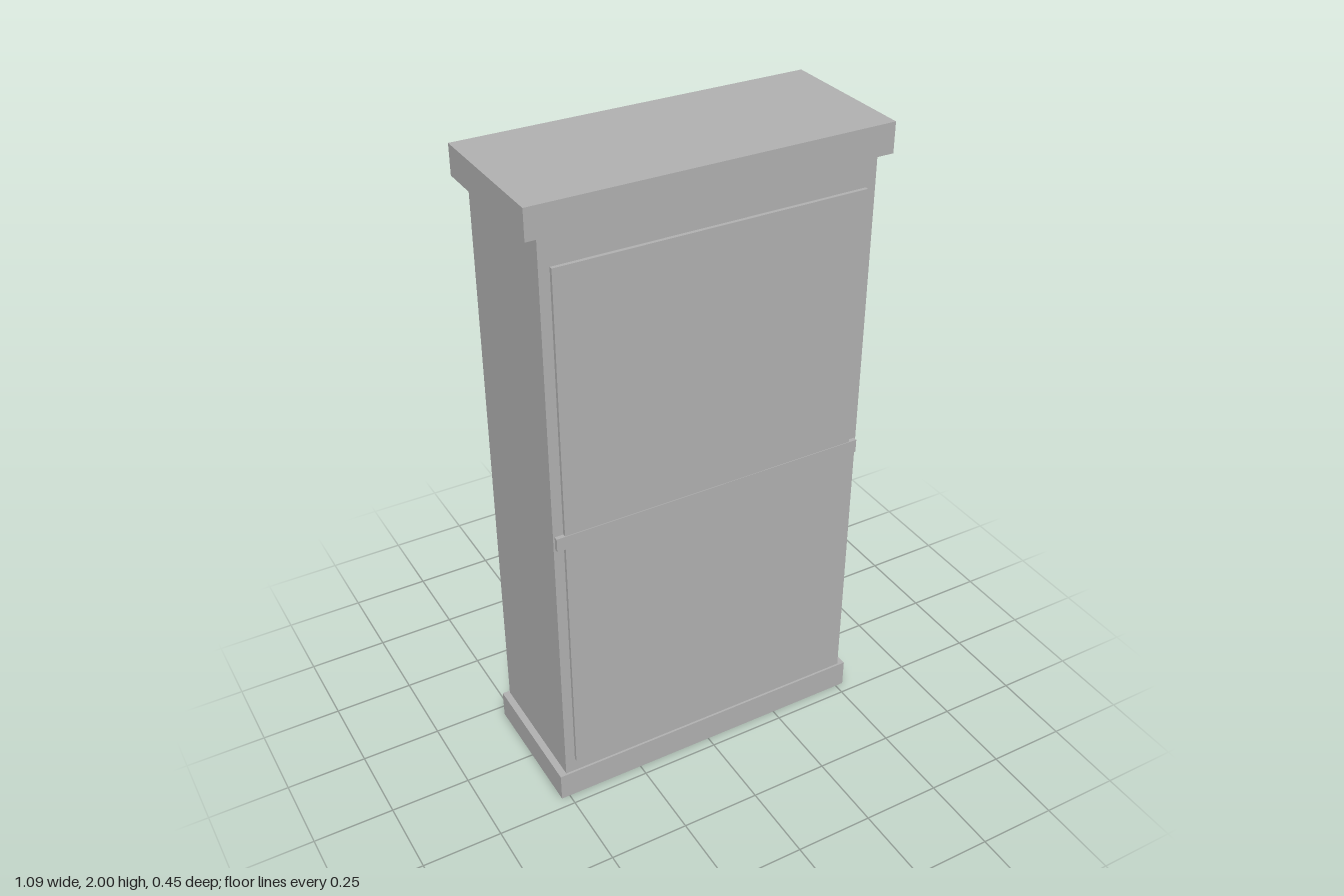
import * as THREE from 'three';

export function createModel() {
  const model = new THREE.Group();
  model.name = 'cabinet';

  const paint = new THREE.MeshStandardMaterial({ color: 0xb2b2b2, side: THREE.DoubleSide });
  paint.name = 'grey paint';

  // Box given by its width, vertical range and depth range
  function addBox(name, width, y0, y1, z0, z1) {
    const geometry = new THREE.BoxGeometry(width, y1 - y0, z1 - z0);
    geometry.translate(0, (y0 + y1) / 2, (z0 + z1) / 2);
    const mesh = new THREE.Mesh(geometry, paint);
    mesh.name = name;
    model.add(mesh);
    return mesh;
  }

  // Plinth: a thin shell, open underneath
  const plinth = addBox('plinth', 1.054, 0, 0.092, -0.215, 0.215);
  const index = Array.from(plinth.geometry.index.array);
  index.splice(18, 6); // drop the bottom face
  plinth.geometry.setIndex(index);
  plinth.geometry.clearGroups();

  // Carcass and overhanging crown
  addBox('carcass', 1.01, 0.092, 1.91, -0.208, 0.208);
  addBox('crown', 1.087, 1.91, 2, -0.226, 0.226);

  // Two door panels with a wider rail between them
  addBox('lowerDoor', 0.947, 0.14, 0.957, 0.2, 0.219);
  addBox('upperDoor', 0.947, 1.0, 1.82, 0.2, 0.219);
  addBox('middleRail', 1.0, 0.957, 1.0, 0.2, 0.221);

  return model;
}
